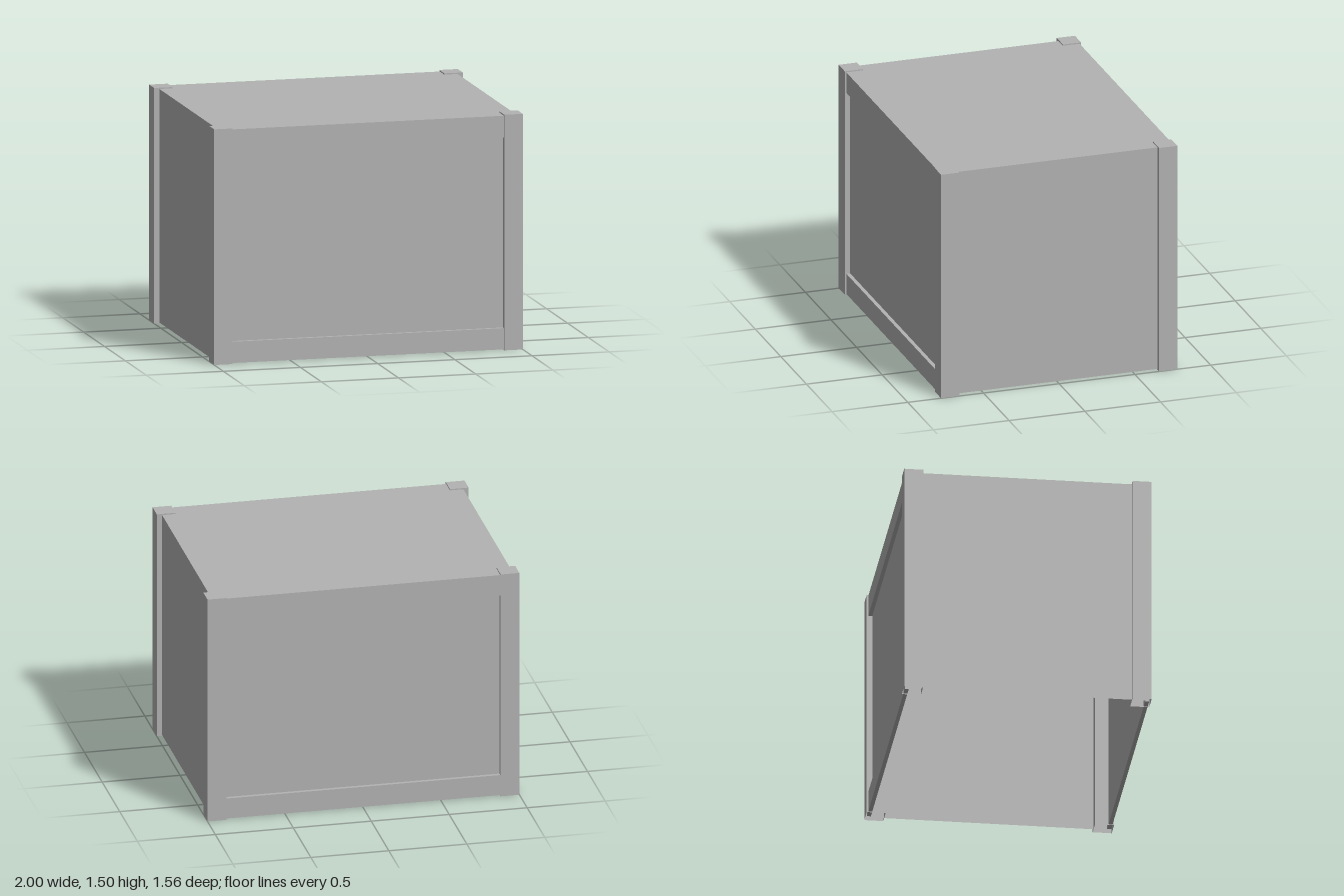
import * as THREE from 'three';

const grey = new THREE.MeshStandardMaterial({ color: 0xb2b2b2, side: THREE.DoubleSide });
grey.name = 'plain grey';

// Box given by its minimum and maximum y, optionally without its underside
function box(name, w, d, y0, y1, x, z, openBottom) {
  const geo = new THREE.BoxGeometry(w, y1 - y0, d);
  if (openBottom) {
    const index = Array.from(geo.index.array);
    index.splice(18, 6); // the underside's two triangles
    geo.setIndex(index);
    geo.clearGroups();
  }
  const mesh = new THREE.Mesh(geo, grey);
  mesh.name = name;
  mesh.position.set(x, (y0 + y1) / 2, z);
  return mesh;
}

export function createModel() {
  const crate = new THREE.Group();
  crate.name = 'crate';

  // Thin-walled body, open underneath
  crate.add(box('body', 1.932, 1.49, 0.005, 1.492, 0, 0, true));

  for (const [end, sz] of [['front', 1], ['back', -1]]) {
    // Hollow corner posts
    for (const [side, sx] of [['Left', 1], ['Right', -1]]) {
      crate.add(box(end + side + 'Post', 0.12, 0.12, 0, 1.5, sx * 0.94, sz * 0.72, true));
    }
    // Rails framing the recessed end panels
    crate.add(box(end + 'LowerRail', 1.9, 0.025, 0.005, 0.14, 0, sz * 0.7575));
    crate.add(box(end + 'UpperRail', 1.9, 0.025, 1.355, 1.492, 0, sz * 0.7575));
  }
  return crate;
}
